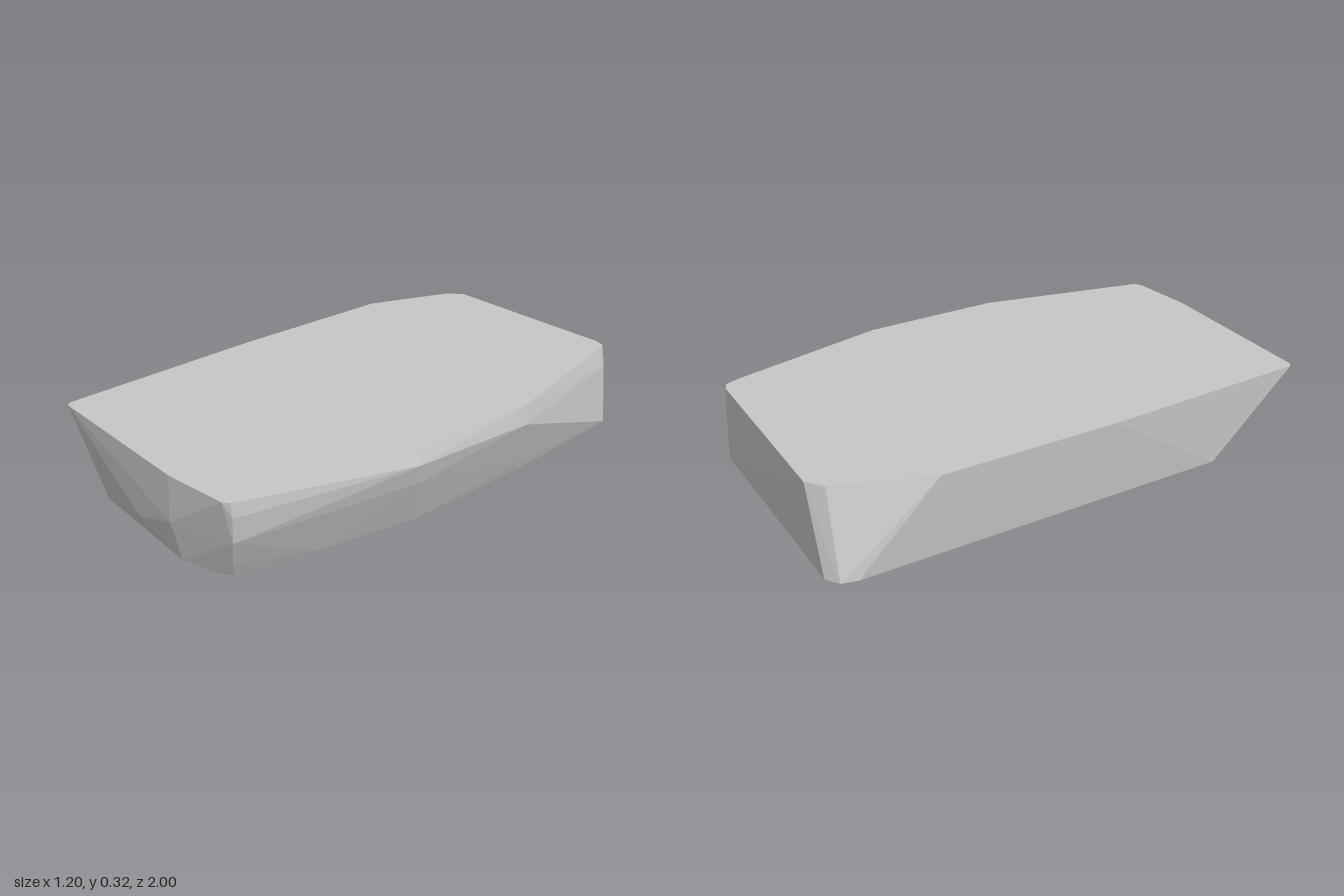
import * as THREE from 'three';
import { ConvexGeometry } from 'three/addons/geometries/ConvexGeometry.js';

export function createModel() {
  const group = new THREE.Group();
  const stone = new THREE.MeshStandardMaterial({ color: 0xc6c6c6 });
  const H = 0.325;

  // Flat top outline (x, z)
  const top = [
    [-0.57, 0.95], [-0.55, 0.965], [0.15, 0.993], [0.41, 0.968], [0.435, 0.95],
    [0.585, 0.27], [0.58, -0.29], [0.43, -0.92], [0.41, -0.975], [0.37, -0.99],
    [-0.4, -1], [-0.46, -0.95], [-0.595, -0.6], [-0.6, 0.1],
  ];
  // Flat base outline (x, z)
  const base = [
    [-0.565, 0.6], [-0.36, 0.94], [0.17, 0.975], [0.33, 0.93], [0.36, 0.9],
    [0.43, 0.6], [0.505, 0.2], [0.505, -0.35], [0.465, -0.955], [0.43, -0.99],
    [-0.5, -0.995], [-0.55, -0.96], [-0.565, -0.9],
  ];
  // Chipped corners and bulges between top and base (x, y, z)
  const middle = [
    [0.6, 0.28, 0.27], [0.595, 0.25, -0.29], [0.58, 0.2, 0.25],
    [0.525, 0.06, 0.2], [0.525, 0.05, -0.33],
    [0.44, 0.27, 0.95], [0.43, 0.17, 0.945], [0.4, 0.11, 0.9], [0.385, 0.06, 0.92],
    [0.15, 0.15, 1], [-0.3, 0.015, 0.955], [-0.07, 0.07, 0.985],
    [0.445, 0.25, -0.945], [0.42, 0.25, -0.982],
  ];

  const points = [
    ...top.map(([x, z]) => new THREE.Vector3(x, H, z)),
    ...base.map(([x, z]) => new THREE.Vector3(x, 0, z)),
    ...middle.map((p) => new THREE.Vector3(...p)),
  ];
  const slab = new THREE.Mesh(new ConvexGeometry(points), stone);
  stone.name = 'light grey stone';
  slab.name = 'stoneSlab';
  group.add(slab);
  return group;
}
